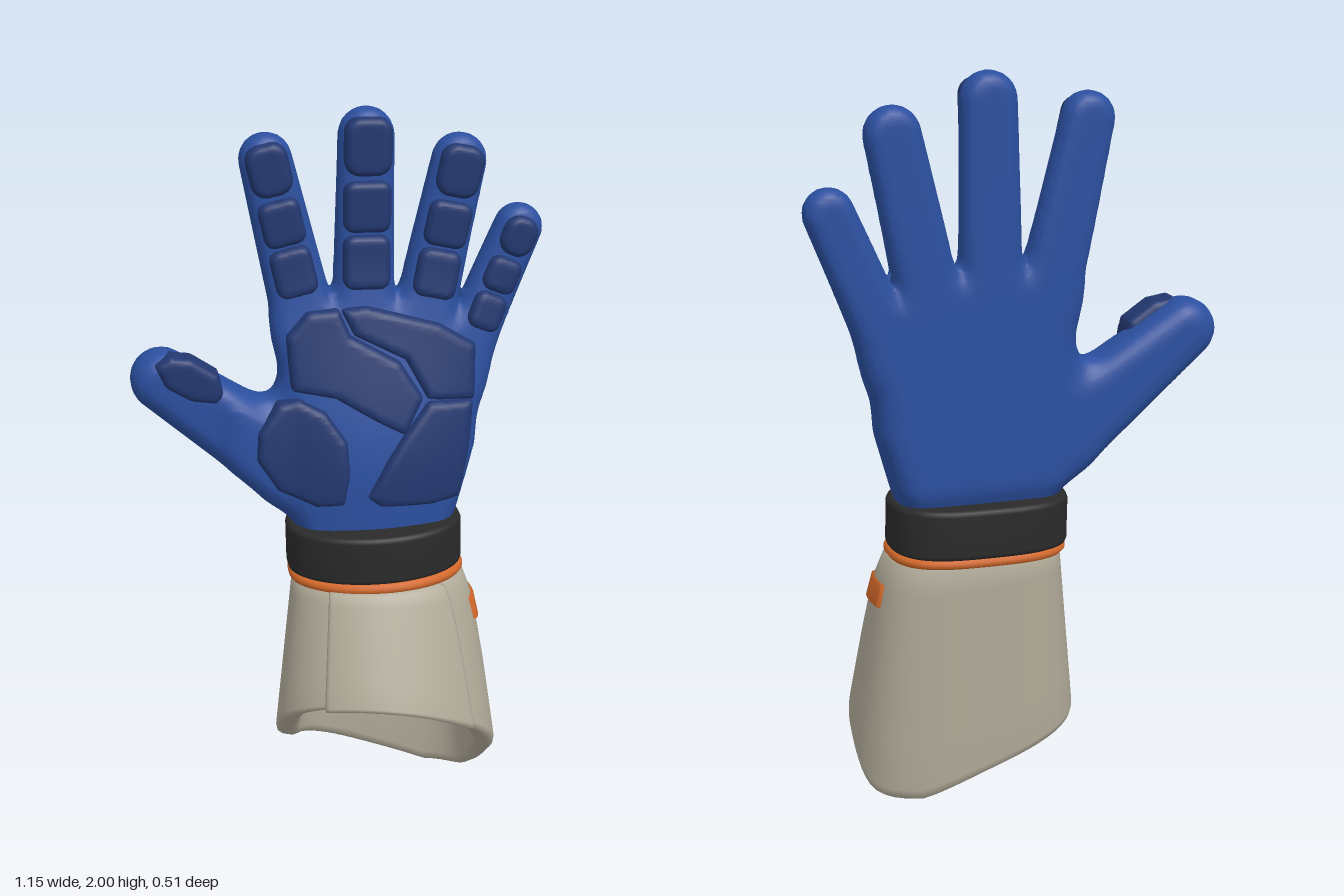
import * as THREE from 'three';

const mat = (name, color, side = THREE.FrontSide) => {
  const m = new THREE.MeshStandardMaterial({ color, side });
  m.name = name;
  return m;
};
const { clamp, lerp, smoothstep, degToRad } = THREE.MathUtils;

// ---- 2D distance helpers -------------------------------------------------
const capsule = (x, y, [ax, ay, ra], [bx, by, rb]) => {
  const dx = bx - ax, dy = by - ay;
  const t = clamp(((x - ax) * dx + (y - ay) * dy) / (dx * dx + dy * dy), 0, 1);
  return Math.hypot(x - ax - dx * t, y - ay - dy * t) - lerp(ra, rb, t);
};
const polygon = (x, y, pts) => {
  let d = Infinity, s = 1;
  pts.forEach(([ax, ay], i) => {
    const [bx, by] = pts[(i + 1) % pts.length];
    d = Math.min(d, capsule(x, y, [ax, ay, 0], [bx, by, 0]));
    if ((ay > y) !== (by > y) && x < ax + (bx - ax) * (y - ay) / (by - ay)) s = -s;
  });
  return d * s;
};
const roundUnion = (a, b, k) => {
  const h = Math.max(k - Math.abs(a - b), 0) / k;
  return Math.min(a, b) - h * h * k / 4;
};
// Outline distance d thickened between two heights, with rounded edges
const slab = (d, z, back, front, r) => {
  const a = d + r, b = Math.abs(z - (back + front) / 2) - (front - back) / 2 + r;
  return Math.min(Math.max(a, b), 0) + Math.hypot(Math.max(a, 0), Math.max(b, 0)) - r;
};

// Smooth skin around the zero level of a distance function
function skin(f, min, max, h) {
  const n = min.map((m, i) => Math.ceil((max[i] - m) / h) + 1);
  const step = [1, n[0], n[0] * n[1]];
  const val = new Float32Array(n[0] * n[1] * n[2]);
  const each = (from, cut, fn) => {
    for (let k = from; k < n[2] - cut; k++)
      for (let j = from; j < n[1] - cut; j++)
        for (let i = from; i < n[0] - cut; i++) fn(i, j, k, i + j * step[1] + k * step[2]);
  };
  each(0, 0, (i, j, k, q) => { val[q] = f(min[0] + i * h, min[1] + j * h, min[2] + k * h); });
  const id = new Int32Array(val.length).fill(-1), pos = [], index = [];
  each(0, 1, (i, j, k, q) => {
    let c = 0;
    const p = [0, 0, 0];
    for (let a = 0; a < 3; a++) for (let m = 0; m < 4; m++) {
      const b = (a + 1) % 3, e = (a + 2) % 3, o = [0, 0, 0];
      o[b] = m & 1; o[e] = m >> 1;
      const s = q + o[b] * step[b] + o[e] * step[e], v = val[s], w = val[s + step[a]];
      if ((v < 0) === (w < 0)) continue;
      o[a] = v / (v - w);
      for (let t = 0; t < 3; t++) p[t] += o[t];
      c++;
    }
    if (!c) return;
    id[q] = pos.length / 3;
    [i, j, k].forEach((g, t) => pos.push(min[t] + (g + p[t] / c) * h));
  });
  each(1, 1, (i, j, k, q) => {
    for (let a = 0; a < 3; a++) {
      const inside = val[q] < 0;
      if (inside === (val[q + step[a]] < 0)) continue;
      const b = step[(a + 1) % 3], c = step[(a + 2) % 3];
      const [A, B, C, D] = [q, q - b, q - b - c, q - c].map(s => id[s]);
      index.push(...(inside ? [A, B, C, A, C, D] : [A, C, B, A, D, C]));
    }
  });
  return buffer(pos, index);
}
function buffer(pos, index) {
  const g = new THREE.BufferGeometry();
  g.setAttribute('position', new THREE.Float32BufferAttribute(pos, 3));
  g.setIndex(index);
  g.computeVertexNormals();
  return g;
}
// Grid of points from rows and columns, optionally closed around
function loft(nu, nv, closed, f) {
  const pos = [], index = [], w = closed ? nu : nu + 1;
  for (let v = 0; v <= nv; v++) for (let u = 0; u < w; u++) pos.push(...f(u / nu, v));
  for (let v = 0; v < nv; v++) for (let u = 0; u < nu; u++) {
    const a = v * w + u, b = v * w + (u + 1) % w;
    index.push(a, b, a + w, b, b + w, a + w);
  }
  return buffer(pos, index);
}

// ---- hand layout: each finger is [tip, base] with radii -------------------
const fingers = {
  index: { line: [[-0.193, 1.866, 0.072], [-0.088, 1.4, 0.088]], pad: 0.058, scale: 1 },
  middle: { line: [[0.08, 1.924, 0.076], [0.072, 1.4, 0.086]], pad: 0.065, scale: 1.1 },
  ring: { line: [[0.336, 1.847, 0.075], [0.228, 1.35, 0.087]], pad: 0.06, scale: 1 },
  little: { line: [[0.506, 1.655, 0.067], [0.335, 1.25, 0.077]], pad: 0.048, scale: 0.78 },
};
const thumb = [[-0.492, 1.274, 0.085], [-0.15, 1.02, 0.12]];
const palm = [[-0.11, 0.78], [0.3, 0.78], [0.335, 0.88], [0.385, 1.05], [0.405, 1.25], [0.39, 1.4],
  [0.2, 1.46], [0, 1.47], [-0.16, 1.42], [-0.17, 1.25], [-0.18, 1]];
const palmPads = {
  indexPalmPad: [[-0.145, 1.39], [-0.09, 1.45], [-0.01, 1.455], [0.02, 1.385], [0.155, 1.31],
    [0.215, 1.215], [0.165, 1.125], [0.09, 1.165], [-0.02, 1.23], [-0.135, 1.25]],
  upperPalmPad: [[0.01, 1.455], [0.07, 1.46], [0.27, 1.405], [0.37, 1.345], [0.365, 1.205],
    [0.24, 1.215], [0.18, 1.325], [0.04, 1.395]],
  heelPad: [[0.24, 1.195], [0.36, 1.19], [0.35, 1.08], [0.32, 0.93], [0.245, 0.918],
    [0.1, 0.922], [0.07, 0.945], [0.125, 1.045], [0.17, 1.11]],
  thumbBasePad: [[-0.175, 1.205], [-0.125, 1.215], [-0.055, 1.18], [0, 1.1], [0.005, 1.01],
    [-0.01, 0.93], [-0.08, 0.925], [-0.18, 0.97], [-0.235, 1.055], [-0.23, 1.13]],
  thumbTipPad: [[-0.505, 1.33], [-0.47, 1.35], [-0.415, 1.342], [-0.345, 1.295], [-0.335, 1.245],
    [-0.35, 1.225], [-0.415, 1.235], [-0.48, 1.275]],
};
// Height of the palm side: flat on fingers, bulging over palm and thumb
const front = (x, y) => {
  const low = 1 - smoothstep(y, 0.95, 1.66);
  const across = Math.max(0, 1 - ((x - 0.1) / 0.44) ** 2);
  const onThumb = smoothstep(-x, 0.12, 0.34) * (1 - smoothstep(y, 1.38, 1.5));
  return -0.112 + 0.125 * low * across + 0.06 * onThumb;
};
const handShape = (x, y, z) => {
  let d = Infinity;
  for (const k in fingers) d = Math.min(d, capsule(x, y, ...fingers[k].line));
  d = roundUnion(d, polygon(x, y, palm), 0.07);
  d = roundUnion(d, capsule(x, y, ...thumb), 0.1);
  const f = front(x, y), b = -0.2 + 0.03 * (1 - smoothstep(y, 0.8, 0.9));
  return slab(d, z, b, f, Math.min(0.06, (f - b) * 0.42));
};

// ---- wrist outline: round in front, boxier at the back ---------------------
const outline = a => {
  const c = Math.cos(a), s = Math.sin(a);
  const k = s < 0 ? (Math.abs(c) ** 3 + Math.abs(s) ** 3) ** (-1 / 3) : 1;
  return [c * k, s * k];
};
// ---- gauntlet: ring at the wrist flaring to a slanted opening --------------
const TOP = 0.69;
const hem = a => {
  const [c, s] = outline(a), x = 0.12 + 0.322 * c, z = 0.01 + 0.235 * s;
  return [x, -roundUnion(-(0.203 - 0.2 * x + 0.84 * z), -Math.max(0.1 - 0.33 * x, 0.004), 0.03) - 0.005, z];
};
const sleeve = (a, t, out) => {
  const [x, y, z] = hem(a), [c, s] = outline(a);
  const swell = 0.02 * Math.max(0, c) * Math.sin(Math.PI * Math.sqrt(clamp(t, 0, 1)));
  return [lerp(0.1 + 0.24 * c, x, t) + out * c + swell, lerp(TOP, y, t), lerp(-0.062 + 0.163 * s, z, t) + out * s];
};
// Profile down the outside, around the hem and up the inside: [drop, offset]
const sleeveRows = [[0, -0.02], [0.02, 0], [0.12, 0], [0.25, 0], [0.5, 0], [0.75, 0], [0.95, 0], [0.985, -0.006],
  [1, -0.02], [1, -0.048], [0.985, -0.06], [0.95, -0.066], [0.75, -0.066], [0.4, -0.06], [0.08, -0.05], [0.04, -0.16]];

export function createModel() {
  const blue = mat('blue fabric', 0x2b4f9f), navy = mat('navy pads', 0x22376f);
  const cream = mat('cream shell', 0xb0a998, THREE.DoubleSide);
  const black = mat('black band', 0x2a2a2a), orange = mat('orange trim', 0xd2682a, THREE.DoubleSide);
  const group = new THREE.Group();
  const add = (name, geo, m) => {
    const mesh = new THREE.Mesh(geo, m);
    mesh.name = name;
    group.add(mesh);
    return mesh;
  };

  add('hand', skin(handShape, [-0.62, 0.74, -0.23], [0.61, 2.04, 0.05], 0.0125), blue);

  // Raised pads follow the palm surface
  const pad = (name, shape, cx, cy, w, h, rise = 0.026) => add(name, skin((x, y, z) => {
    const f = front(x, y);
    return slab(shape(x, y), z, f - 0.075, f + rise, 0.02);
  }, [cx - w, cy - h, -0.2], [cx + w, cy + h, 0.06], 0.008), navy);
  for (const name in palmPads) {
    const pts = palmPads[name], box = new THREE.Box2().setFromPoints(pts.map(p => new THREE.Vector2(...p)));
    const c = box.getCenter(new THREE.Vector2()), s = box.getSize(new THREE.Vector2());
    pad(name, (x, y) => polygon(x, y, pts) - 0.007, c.x, c.y, s.x / 2 + 0.03, s.y / 2 + 0.03,
      name === 'thumbTipPad' ? 0.016 : 0.026);
  }
  for (const name in fingers) {
    const { line: [tip, base], pad: half, scale } = fingers[name];
    const dir = new THREE.Vector2(base[0] - tip[0], base[1] - tip[1]).normalize();
    [[0.022, 0.072], [0.17, 0.064], [0.308, 0.067]].forEach(([at, len], i) => {
      const cx = tip[0] + dir.x * at * scale, cy = tip[1] + dir.y * at * scale, r = i ? 0.028 : 0.042;
      pad(`${name}FingerPad${i + 1}`, (x, y) => {
        const u = Math.abs((x - cx) * dir.y - (y - cy) * dir.x) - half + r;
        const v = Math.abs((x - cx) * dir.x + (y - cy) * dir.y) - len * scale + r;
        return Math.hypot(Math.max(u, 0), Math.max(v, 0)) + Math.min(Math.max(u, v), 0) - r;
      }, cx, cy, 0.12, 0.12);
    });
  }

  // Wrist band and trim ring: [inset, height] profiles swept around the outline
  const sweep = (profile) => loft(72, profile.length - 1, true, (u, v) => {
    const [c, s] = outline(u * Math.PI * 2), [inset, y] = profile[v];
    return [(0.25 - inset) * c, y, Math.max(0.177 - inset, 0) * s];
  });
  const wrist = add('wristBand', sweep([[0.25, 0.06], [0.06, 0.066], [0.014, 0.068], [0.004, 0.064], [0, 0.054],
    [0, -0.056], [0.003, -0.066], [0.012, -0.071], [0.06, -0.071], [0.25, -0.071]]), black);
  wrist.position.set(0.095, 0.78, -0.077);
  wrist.rotation.z = 0.02;
  const tube = Array.from({ length: 11 }, (_, i) => {
    const a = Math.PI / 2 - i * Math.PI / 5;
    return [0.014 - 0.015 * Math.cos(a), 0.015 * Math.sin(a)];
  });
  const trim = add('trimRing', sweep(tube), orange);
  trim.position.set(0.099, 0.697, -0.07);
  trim.rotation.z = 0.02;

  // Gauntlet shell, raised front panel and side tag
  const rows = sleeveRows.length - 1;
  add('gauntlet', loft(72, rows, true, (u, v) => sleeve(u * Math.PI * 2, ...sleeveRows[v])), cream);
  add('frontPanel', loft(50, rows, false, (u, v) => {
    const edge = Math.min(u, 1 - u), [t, o] = sleeveRows[v];
    const out = edge < 0.01 ? -0.02 : edge < 0.03 ? 0.008 : 0.014;
    return sleeve(degToRad(lerp(46, 131, u)), t * 1.015, o + out);
  }), cream);
  const tagRows = [[0.616, -0.004], [0.614, 0.008], [0.552, 0.008], [0.55, -0.004]];
  add('sideTag', loft(16, 3, false, (u, v) => {
    const a = degToRad(lerp(-21, 22, u)), [y, out] = tagRows[v];
    return sleeve(a, (TOP - y) / (TOP - hem(a)[1]), u % 1 ? out : -0.004);
  }), orange);
  return group;
}
